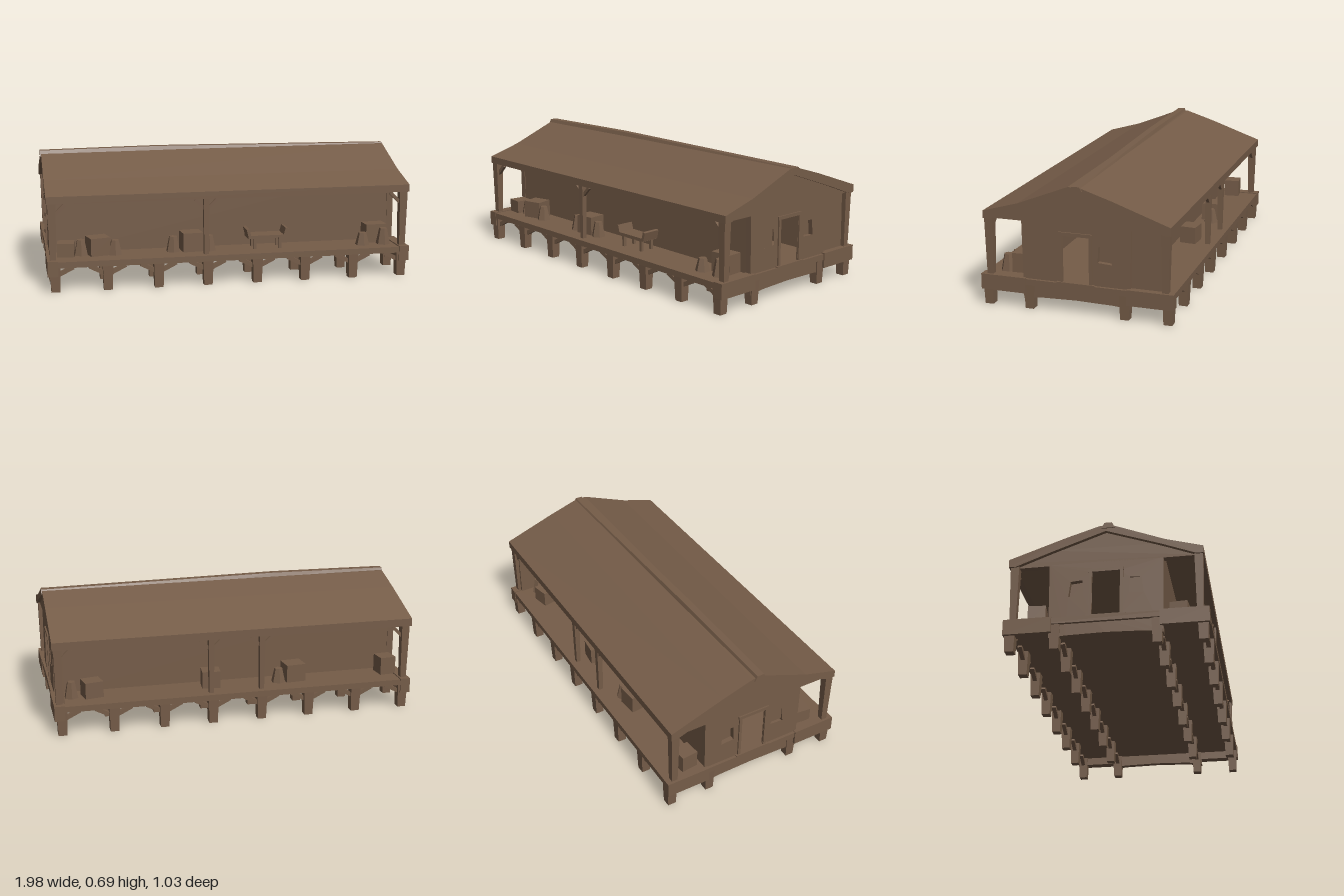
import * as THREE from 'three';

const wood = new THREE.MeshStandardMaterial({ color: 0x755c48 });
wood.name = 'brown wood';

export function createModel() {
  const model = new THREE.Group();
  model.name = 'longhouse';

  const add = (name, geometry, parent = model) => {
    const mesh = new THREE.Mesh(geometry, wood);
    mesh.name = name;
    parent.add(mesh);
    return mesh;
  };
  // Box given by its limits on each axis
  const box = (name, x0, x1, y0, y1, z0, z1, parent) => {
    const mesh = add(name, new THREE.BoxGeometry(x1 - x0, y1 - y0, z1 - z0), parent);
    mesh.position.set((x0 + x1) / 2, (y0 + y1) / 2, (z0 + z1) / 2);
    return mesh;
  };
  const v2 = (list) => list.map(([z, y]) => new THREE.Vector2(-z, y));
  // Profile of [z, y] points pushed along x
  const extrudeX = (name, points, x0, x1, holes = []) => {
    const shape = new THREE.Shape(v2(points));
    holes.forEach((h) => shape.holes.push(new THREE.Path(v2(h))));
    const g = new THREE.ExtrudeGeometry(shape, { depth: x1 - x0, bevelEnabled: false });
    g.rotateY(Math.PI / 2).translate(x0, 0, 0);
    return add(name, g);
  };
  // Square post whose foot and head differ in width
  const post = (name, x, z, y0, y1, bottom, top) => {
    const g = new THREE.CylinderGeometry(top * 0.707, bottom * 0.707, y1 - y0, 4).rotateY(Math.PI / 4).toNonIndexed();
    g.computeVertexNormals();
    const mesh = add(name, g);
    mesh.position.set(x, (y0 + y1) / 2, z);
  };
  // Beam between two points in a plane of constant z
  const brace = (name, xa, ya, xb, yb, z, t) => {
    const mesh = add(name, new THREE.BoxGeometry(Math.hypot(xb - xa, yb - ya), t, t));
    mesh.position.set((xa + xb) / 2, (ya + yb) / 2, z);
    mesh.rotation.z = Math.atan2(yb - ya, xb - xa);
  };

  // Deck and its heavier end beams
  box('deck', -0.98, 0.98, 0.13, 0.162, -0.51, 0.51);
  for (const s of [-1, 1]) {
    for (const t of [-1, 1]) {
      const [z0, z1] = t > 0 ? [0.27, 0.513] : [-0.513, -0.27];
      const [x0, x1] = s > 0 ? [0.93, 0.985] : [-0.985, -0.93];
      box('deckEndBeam', x0, x1, 0.085, 0.167, z0, z1);
    }
  }

  // Four rows of stilts joined by arched braces
  const stiltX = [-0.945, -0.67, -0.4, -0.135, 0.135, 0.4, 0.67, 0.945];
  for (const z of [-0.48, -0.255, 0.255, 0.48]) {
    stiltX.forEach((x, i) => {
      post('stilt', x, z, 0, 0.135, 0.045, 0.055);
      if (i < stiltX.length - 1) {
        const next = stiltX[i + 1];
        brace('archBrace', x + 0.015, 0.088, x + 0.095, 0.128, z, 0.022);
        brace('archBrace', next - 0.095, 0.128, next - 0.015, 0.088, z, 0.022);
      }
    });
  }

  // Long walls of the inner room
  for (const s of [-1, 1]) {
    box('longWall', -0.95, 0.95, 0.15, 0.56, s * 0.275 - 0.01, s * 0.275 + 0.01);
  }

  // End walls with a doorway and two recessed windows, plus gables
  const door = [[-0.07, 0.165], [0.07, 0.165], [0.07, 0.412], [-0.07, 0.412]];
  const windowHole = (s) => [[s * 0.115, 0.285], [s * 0.19, 0.28], [s * 0.18, 0.365], [s * 0.12, 0.37]];
  const endWall = [[-0.285, 0.06], [-0.2, 0.068], [0, 0.072], [0.2, 0.066], [0.285, 0.052],
    [0.29, 0.47], [-0.29, 0.47]];
  const gable = [[-0.475, 0.465], [0.475, 0.465], [0.475, 0.495], [0.28, 0.55], [0, 0.655], [-0.28, 0.555], [-0.475, 0.495]];
  for (const s of [-1, 1]) {
    const x = s > 0 ? [0.93, 0.965] : [-0.965, -0.93];
    extrudeX('endWall', endWall, x[0], x[1], [door, windowHole(1), windowHole(-1)]);
    extrudeX('gable', gable, x[0], x[1]);
    for (const t of [-1, 1]) {
      box('windowBack', s * 0.935 - 0.004, s * 0.935 + 0.004, 0.27, 0.38, t * 0.15 - 0.05, t * 0.15 + 0.05);
      // Jambs standing proud of the wall
      box('doorJamb', s * 0.965 - 0.008, s * 0.965 + 0.008, 0.165, 0.41, t * 0.079 - 0.008, t * 0.079 + 0.008);
    }
    box('doorLintel', s * 0.965 - 0.008, s * 0.965 + 0.008, 0.41, 0.428, -0.09, 0.09);
    box('doorSill', s * 0.96 - 0.02, s * 0.96 + 0.02, 0.14, 0.167, -0.1, 0.1);
  }
  // Closed end of the rear porch
  box('porchEndPanel', 0.925, 0.95, 0.13, 0.49, -0.465, -0.275);

  // Roof shell with thick eaves
  extrudeX('roof', [[0.492, 0.466], [0.492, 0.505], [0.3, 0.56], [0.03, 0.667], [-0.03, 0.667], [-0.2, 0.613],
    [-0.497, 0.508], [-0.497, 0.466], [-0.46, 0.466], [-0.28, 0.535], [0, 0.635], [0.28, 0.535], [0.455, 0.466]], -0.985, 0.985);

  // Ridge cap, wandering slightly along its length
  const cap = new THREE.BoxGeometry(1.98, 0.03, 0.06, 6, 1, 1);
  const p = cap.attributes.position;
  for (let i = 0; i < p.count; i++) {
    const x = p.getX(i), up = p.getY(i) > 0;
    const crest = 0.688 - 0.012 * Math.abs(x + 0.35);
    p.setY(i, up ? crest : 0.65);
    p.setZ(i, p.getZ(i) * (up ? 0.65 : 1.15) - 0.012 * x);
  }
  cap.computeVertexNormals();
  add('ridgeCap', cap.toNonIndexed()).geometry.computeVertexNormals();

  // Porch posts with knee braces
  for (const s of [-1, 1]) {
    for (const x of [-0.955, 0.955]) {
      post('cornerPost', x, s * 0.467, 0.155, 0.475, 0.032, 0.044);
      brace('kneeBrace', x, 0.39, x - Math.sign(x) * 0.07, 0.46, s * 0.467, 0.018);
    }
  }
  for (const [x, z] of [[-0.14, 0.465], [0.14, -0.465], [-0.14, -0.465]]) {
    post('porchPost', x, z, 0.155, 0.475, 0.024, 0.032);
    brace('kneeBrace', x, 0.4, x + 0.06, 0.46, z, 0.016);
    brace('kneeBrace', x, 0.4, x - 0.06, 0.46, z, 0.016);
  }

  // Goods on the porches: [x, z, width, height, depth, turn]
  const crates = [
    [-0.71, 0.36, 0.11, 0.098, 0.1, 0.25], [-0.88, 0.36, 0.09, 0.075, 0.09, -0.1],
    [-0.205, 0.36, 0.11, 0.105, 0.1, 0.1], [0.84, 0.335, 0.12, 0.105, 0.085, 0.05],
    [0.77, -0.37, 0.1, 0.09, 0.09, 0.2], [0.12, -0.36, 0.1, 0.095, 0.09, -0.1],
    [-0.35, -0.36, 0.11, 0.1, 0.1, 0.1], [-0.89, -0.36, 0.09, 0.1, 0.09, 0.1],
  ];
  for (const [x, z, w, h, d, turn] of crates) {
    const mesh = box('crate', x - w / 2, x + w / 2, 0.16, 0.16 + h, z - d / 2, z + d / 2);
    mesh.rotation.y = turn;
  }
  const sacks = [[-0.8, 0.36, 0.085], [-0.62, 0.38, 0.08], [-0.305, 0.37, 0.085], [-0.11, 0.38, 0.085],
    [0.75, 0.41, 0.07], [0.87, 0.41, 0.09], [0.88, -0.37, 0.09], [-0.26, -0.38, 0.08]];
  for (const [x, z, h] of sacks) {
    const g = new THREE.CylinderGeometry(0.022, 0.04, h, 6).toNonIndexed();
    g.computeVertexNormals();
    add('sack', g).position.set(x, 0.16 + h / 2, z);
  }

  // Small trestle table with raised ends
  const table = new THREE.Group();
  table.name = 'table';
  model.add(table);
  box('tableTop', 0.1, 0.31, 0.222, 0.238, 0.32, 0.42, table);
  for (const x of [0.105, 0.31]) {
    const end = box('tableEnd', x - 0.008, x + 0.008, 0.225, 0.275, 0.32, 0.42, table);
    end.rotation.z = x < 0.2 ? 0.25 : -0.25;
  }
  for (const x of [0.14, 0.28]) {
    for (const z of [0.335, 0.405]) box('tableLeg', x - 0.008, x + 0.008, 0.16, 0.225, z - 0.008, z + 0.008, table);
  }

  return model;
}
